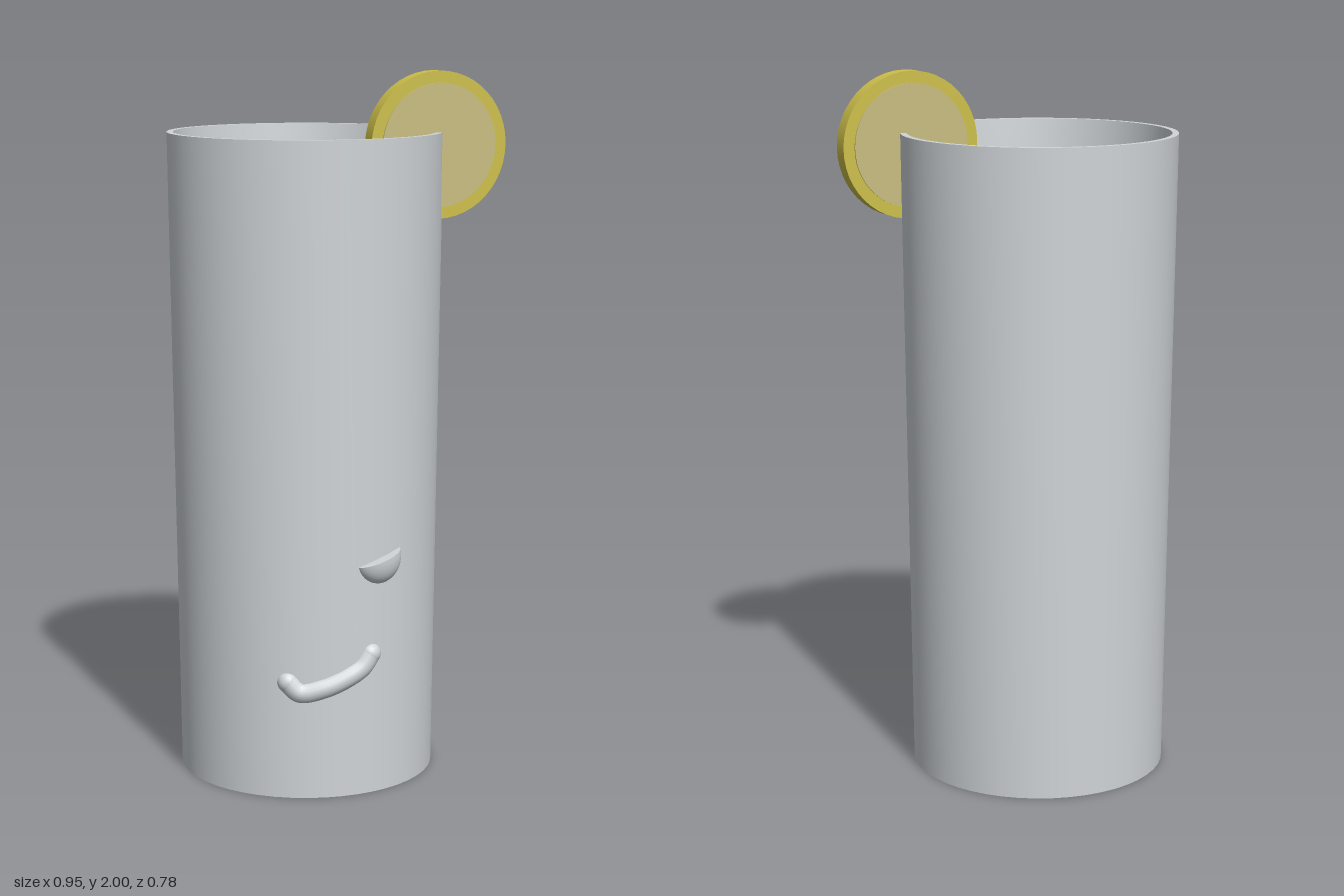
import * as THREE from 'three';
import { toCreasedNormals } from 'three/addons/utils/BufferGeometryUtils.js';
import { RoundedBoxGeometry } from 'three/addons/geometries/RoundedBoxGeometry.js';

const AXIS_X = -0.087; // the glass stands off centre, balancing the citrus wheel

function material(name, color) {
  const m = new THREE.MeshStandardMaterial({ color });
  m.name = name;
  return m;
}

function mesh(name, geometry, mat) {
  const m = new THREE.Mesh(geometry, mat);
  m.name = name;
  return m;
}

function lathe(points, segments = 48) {
  const profile = points.map(([x, y]) => new THREE.Vector2(x, y));
  return toCreasedNormals(new THREE.LatheGeometry(profile, segments), 0.6);
}

// Point just under the outer glass wall at a given x and y, on the front side
function onGlass(x, y, inset) {
  const r = 0.365 + 0.0126 * y - inset;
  const dx = x - AXIS_X;
  return new THREE.Vector3(x, y, Math.sqrt(r * r - dx * dx));
}

export function createModel() {
  const glassMat = material('glass grey', 0xd0d5d8);
  const drinkMat = material('drink amber', 0xe2b840);
  const rindMat = material('rind yellow', 0xcdbf4a);
  const fleshMat = material('flesh pale yellow', 0xc9bd80);

  const model = new THREE.Group();
  model.name = 'drinkGlass';

  // Tall tapered tumbler with a thin wall and thick base
  const glass = mesh('glass', lathe([
    [0, 0], [0.365, 0], [0.388, 1.83], [0.37, 1.83], [0.352, 1.56], [0.335, 0.06], [0, 0.06],
  ]), glassMat);
  glass.position.x = AXIS_X;
  model.add(glass);

  // Drink filling the inside
  const drink = mesh('drink', lathe([[0, 0.07], [0.334, 0.07], [0.354, 1.57], [0, 1.57]]), drinkMat);
  drink.position.x = AXIS_X;
  model.add(drink);

  // Ice block leaning half out of the drink
  const ice = mesh('ice', new RoundedBoxGeometry(0.28, 0.26, 0.102, 6, 0.05), glassMat);
  ice.rotation.order = 'YXZ';
  ice.rotation.set(-0.7, -0.445, 0);
  ice.position.set(-0.085, 1.562, -0.054);
  model.add(ice);

  // Citrus wheel on the rim: rind disc with slightly proud flesh
  const citrus = new THREE.Group();
  citrus.name = 'citrusWheel';
  for (const [name, r, depth, mat] of [['rind', 0.205, 0.046, rindMat], ['flesh', 0.172, 0.054, fleshMat]]) {
    const disc = new THREE.CylinderGeometry(r, r, depth, 48);
    disc.rotateX(Math.PI / 2);
    citrus.add(mesh(name, disc, mat));
  }
  citrus.position.set(0.28, 1.795, 0);
  citrus.rotation.y = 0.5;
  model.add(citrus);

  // Raised half-moon eye with a slanted flat top
  const arc = [];
  for (let i = 0; i <= 12; i++) {
    const a = (i / 12) * Math.PI / 2;
    arc.push([Math.sin(a), -Math.cos(a)]);
  }
  const eye = mesh('eye', lathe([...arc, [0, 0]], 32), glassMat);
  eye.scale.set(0.072, 0.075, 0.045);
  eye.position.copy(onGlass(0.147, 0.677, 0.012));
  eye.rotation.order = 'YXZ';
  eye.rotation.set(0, Math.atan2(eye.position.x - AXIS_X, eye.position.z), 0.28);
  model.add(eye);

  // Raised crooked smile wrapped around the wall, with rounded ends
  const smile = [
    [-0.095, 0.335], [-0.062, 0.306], [0, 0.316], [0.065, 0.343], [0.105, 0.37], [0.127, 0.405],
  ].map(([x, y]) => onGlass(x, y, 0.012));
  const mouth = new THREE.Group();
  mouth.name = 'mouth';
  const path = new THREE.CatmullRomCurve3(smile);
  mouth.add(mesh('lip', new THREE.TubeGeometry(path, 40, 0.03, 16), glassMat));
  for (const end of [smile[0], smile[smile.length - 1]]) {
    const cap = mesh('mouthCorner', new THREE.SphereGeometry(0.0305, 20, 14), glassMat);
    cap.position.copy(end);
    mouth.add(cap);
  }
  model.add(mouth);

  return model;
}
